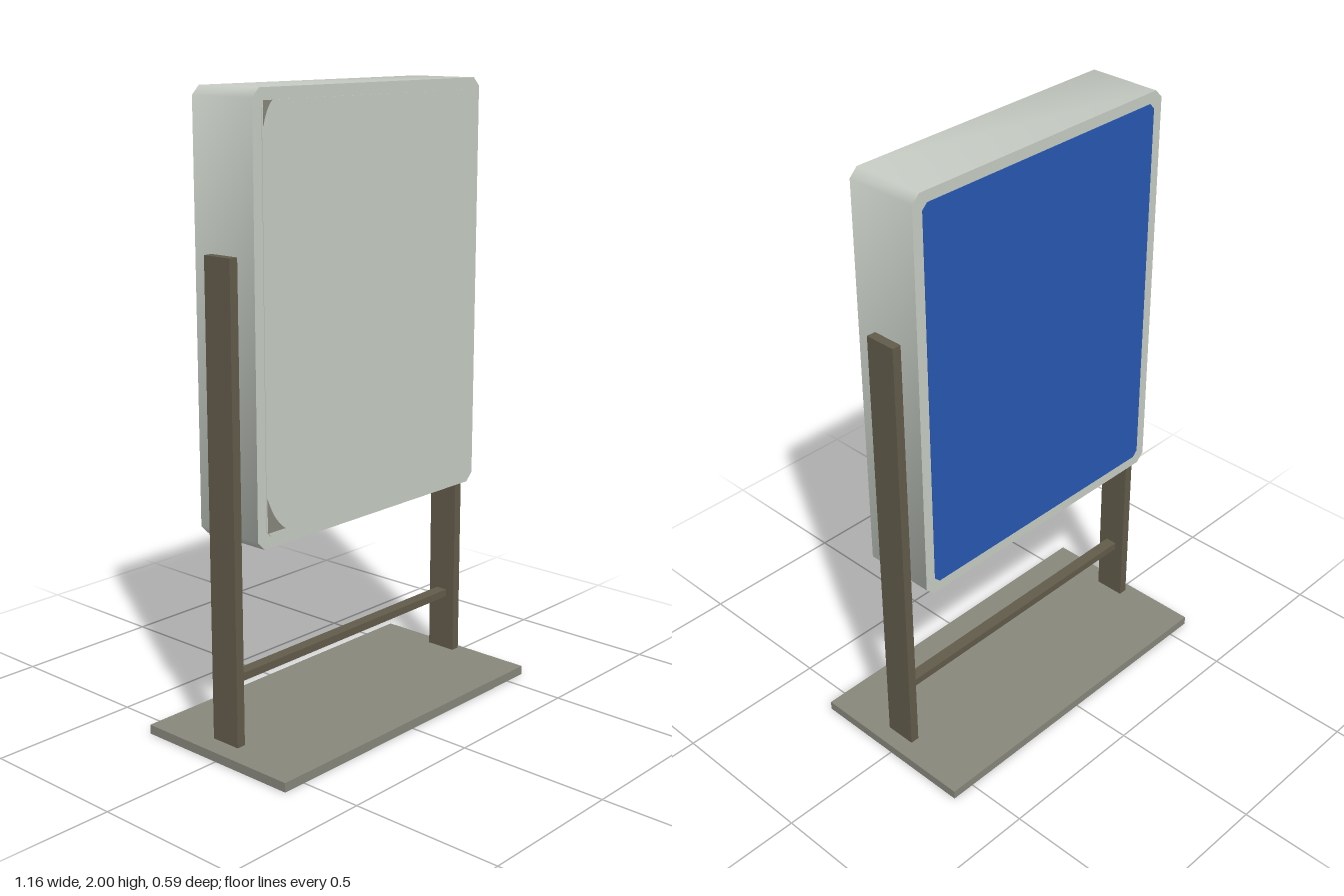
import * as THREE from 'three';
import { toCreasedNormals } from 'three/addons/utils/BufferGeometryUtils.js';

const mat = (name, color) => Object.assign(new THREE.MeshStandardMaterial({ color }), { name });

// Rectangle with cut corners, centred on the origin
function cutRect(w, h, c) {
  const x = w / 2, y = h / 2;
  return new THREE.Shape([
    [-x + c, -y], [x - c, -y], [x, -y + c], [x, y - c],
    [x - c, y], [-x + c, y], [-x, y - c], [-x, -y + c],
  ].map(([a, b]) => new THREE.Vector2(a, b)));
}

export function createModel() {
  const group = new THREE.Group();
  const shell = mat('paleGreyShell', 0xc6ccc4);
  const baseGrey = mat('baseGrey', 0x87877c);
  const post = mat('darkBrownSteel', 0x625b4b);
  const blue = mat('bluePanel', 0x2859b2);

  const add = (name, geometry, material, x, y, z) => {
    const mesh = new THREE.Mesh(geometry, material);
    mesh.name = name;
    mesh.position.set(x, y, z);
    group.add(mesh);
    return mesh;
  };
  const extrude = (shape, depth) => new THREE.ExtrudeGeometry(shape, { depth, bevelEnabled: false });

  // Ground plate
  add('basePlate', new THREE.BoxGeometry(1.16, 0.03, 0.588), baseGrey, 0, 0.015, 0);

  // Uprights and the rail between them
  for (const [name, s] of [['leftPost', 1], ['rightPost', -1]]) {
    add(name, new THREE.BoxGeometry(0.03, 1.485, 0.104), post, s * 0.52, 0.7875, 0);
  }
  add('crossRail', new THREE.BoxGeometry(1.01, 0.025, 0.04), post, 0, 0.2475, 0);

  // Display cabinet, soft across the cut corners
  const cy = 1.3375;
  add('cabinet', toCreasedNormals(extrude(cutRect(1.01, 1.325, 0.027), 0.24), 1), shell, 0, cy, -0.12);

  // Thin face plates on both sides
  const plate = extrude(cutRect(0.94, 1.255, 0.018), 0.002);
  add('frontFace', plate, shell, 0, cy, 0.12);
  add('backPanel', plate, blue, 0, cy, -0.122);

  // Small worn corner marks on the front face: [x, y, width, height]
  for (const [x, y, w, h] of [[-0.466, 0.722, 0.074, 0.105], [-0.466, 1.965, 0.036, -0.07]]) {
    const s = new THREE.Shape();
    s.moveTo(0, 0);
    s.lineTo(w, 0);
    s.quadraticCurveTo(w * 0.35, h * 0.3, 0, h);
    s.closePath();
    add('cornerMark', extrude(s, 0.001), baseGrey, x, y, 0.122);
  }
  return group;
}
